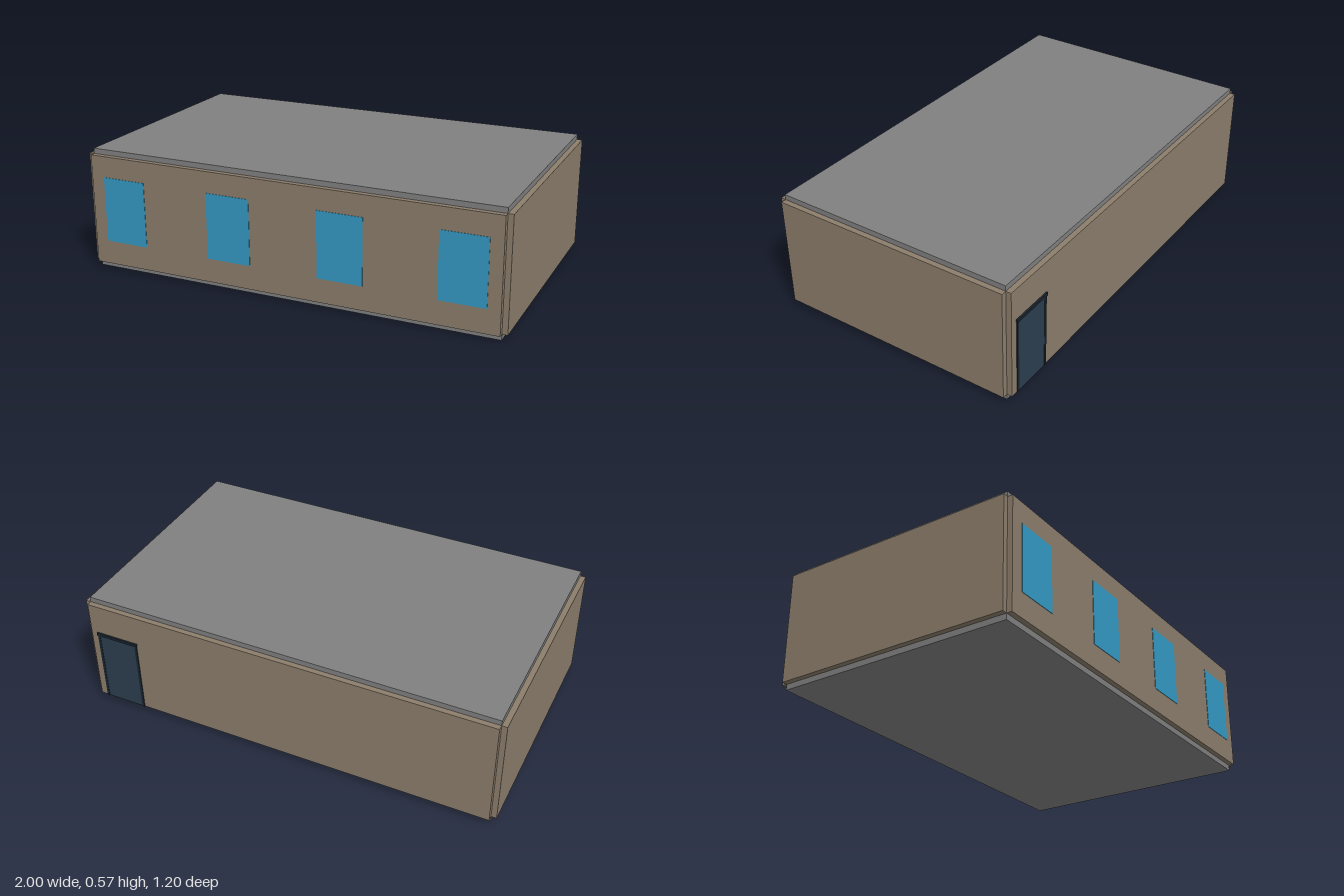
import * as THREE from 'three';

const material = (name, color) => {
  const m = new THREE.MeshStandardMaterial({ color });
  m.name = name;
  return m;
};

export function createModel() {
  const model = new THREE.Group();
  model.name = 'building';
  const concrete = material('concrete grey', 0x808080);
  const plaster = material('wall brown', 0x8b7d6b);
  const glass = material('window blue', 0x3499c4);
  const doorBlue = material('door navy', 0x2c3e50);
  const frameDark = material('door frame dark', 0x1a252f);

  // Box given by its lower and upper corners
  const box = (name, mat, [x0, y0, z0], [x1, y1, z1], parent = model) => {
    const mesh = new THREE.Mesh(new THREE.BoxGeometry(x1 - x0, y1 - y0, z1 - z0), mat);
    mesh.position.set((x0 + x1) / 2, (y0 + y1) / 2, (z0 + z1) / 2);
    mesh.name = name;
    parent.add(mesh);
    return mesh;
  };

  const X = 0.975, front = 0.574, back = -0.566; // slab outline
  const low = 0.027, high = 0.546, top = 0.571, t = 0.025;

  // Floor and roof slabs
  box('floor', concrete, [-X, 0, back], [X, low, front]);
  box('roof', concrete, [-X, high, back], [X, top, front]);

  // Wall panels stand just outside the slabs, leaving notched corners
  box('frontWall', plaster, [-X, low, front], [X, high, front + t]);
  box('backWall', plaster, [-X, low, back - t], [X, high, back]);
  box('leftWall', plaster, [X, low, back], [X + t, high, front]);
  box('rightWall', plaster, [-X - t, low, back], [-X, high, front]);

  // Four windows along the front
  const face = front + t;
  [-0.805, -0.271, 0.265, 0.81].forEach((x, i) =>
    box(`window${i + 1}`, glass, [x - 0.106, 0.139, face - 0.002], [x + 0.106, 0.447, face + 0.002]));

  // Back door with its frame
  const door = new THREE.Group();
  door.name = 'door';
  model.add(door);
  const rear = back - t;
  box('doorLeaf', doorBlue, [0.745, low, rear - 0.002], [0.929, 0.386, rear + 0.002], door);
  for (const x of [0.739, 0.935])
    box('doorJamb', frameDark, [x - 0.006, low, rear - 0.004], [x + 0.006, 0.386, rear + 0.002], door);
  box('doorLintel', frameDark, [0.731, 0.386, rear - 0.008], [0.943, 0.4, rear + 0.002], door);

  return model;
}
